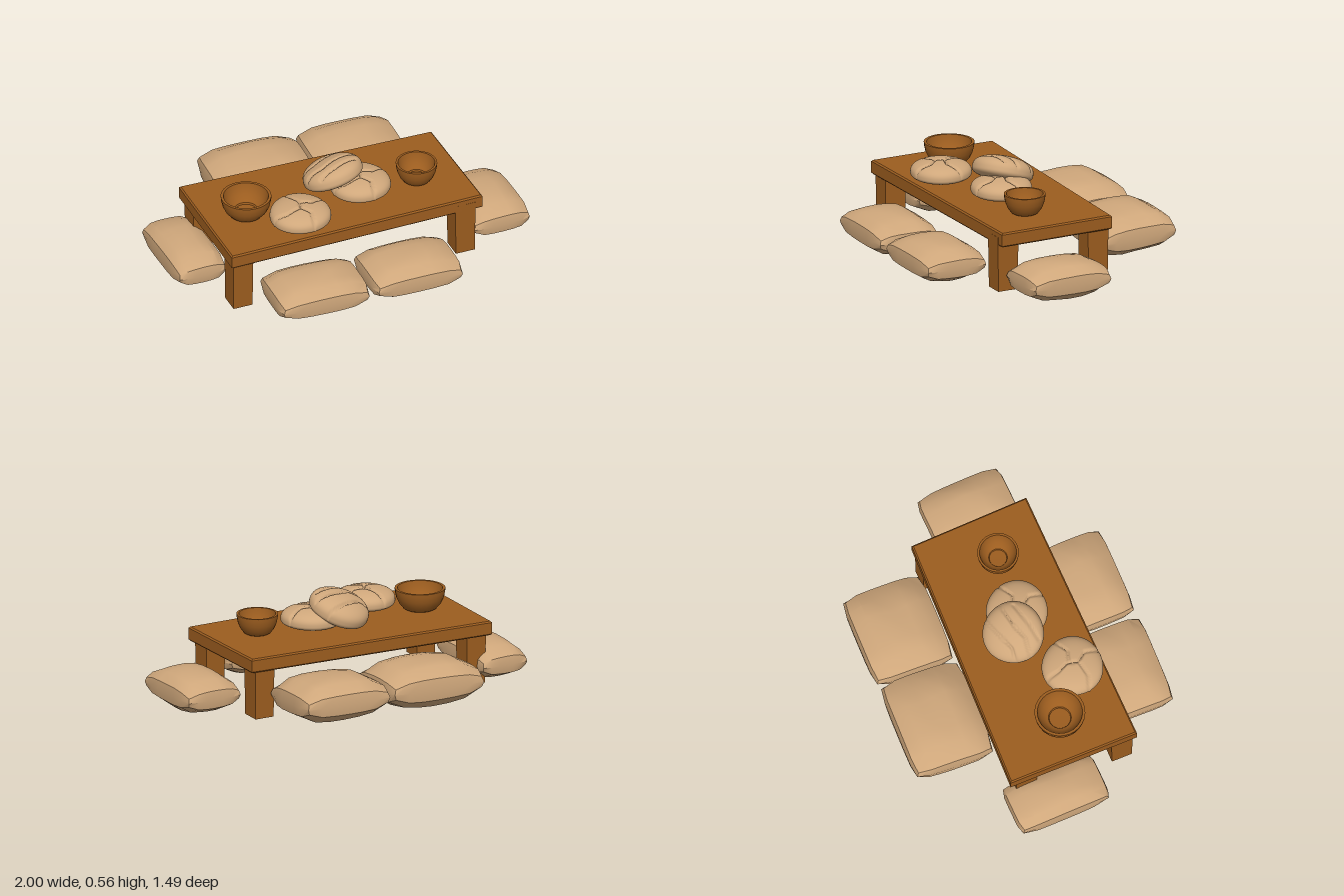
import * as THREE from 'three';
import { mergeVertices, toCreasedNormals } from 'three/addons/utils/BufferGeometryUtils.js';

const wood = new THREE.MeshStandardMaterial({ color: 0x9c5d1f });
wood.name = 'warm wood';
const tan = new THREE.MeshStandardMaterial({ color: 0xcfa77b });
tan.name = 'tan';

function add(parent, name, geometry, material, x = 0, y = 0, z = 0) {
  const mesh = new THREE.Mesh(geometry, material);
  mesh.name = name;
  mesh.position.set(x, y, z);
  parent.add(mesh);
  return mesh;
}

// Move every vertex by a rule, weld, then rebuild normals
function reshape(geometry, rule, crease) {
  const p = geometry.attributes.position;
  const v = new THREE.Vector3();
  for (let i = 0; i < p.count; i++) {
    rule(v.fromBufferAttribute(p, i));
    p.setXYZ(i, v.x, v.y, v.z);
  }
  geometry.deleteAttribute('uv');
  geometry.deleteAttribute('normal');
  const welded = mergeVertices(geometry, 1e-4);
  welded.computeVertexNormals();
  return crease ? toCreasedNormals(welded, crease) : welded;
}

// Pillow: plump in the middle, thinner at the edges, blunt rounded corners
function cushionGeometry(w, h, d, seed) {
  const bulge = (t) => 0.48 + 0.52 * Math.sqrt(Math.max(0, 1 - Math.abs(t) ** 2.2));
  return reshape(new THREE.BoxGeometry(2, 2, 2, 6, 2, 6), (v) => {
    const { x, y, z } = v;
    const inset = 1 - 0.035 * Math.abs(y);
    const wobble = 0.02 * Math.sin(3 * x + 5 * z + seed);
    v.x = (w / 2) * x * (inset - 0.055 * Math.abs(z) ** 6 * Math.abs(x)) + w * wobble * (1 - x * x);
    v.z = (d / 2) * z * (inset - 0.055 * Math.abs(x) ** 6 * Math.abs(z));
    v.y = (h / 2) * y * bulge(x) * bulge(z) * (1 + wobble);
  }, 0.6);
}

function segmentDistance(x, z, [ax, az], [bx, bz]) {
  const dx = bx - ax, dz = bz - az;
  const t = THREE.MathUtils.clamp(((x - ax) * dx + (z - az) * dz) / (dx * dx + dz * dz), 0, 1);
  return Math.hypot(x - ax - t * dx, z - az - t * dz);
}

// Round loaf: flattened ball with split grooves pressed into the crust
function loafGeometry(radius, rise, drop, cracks) {
  return reshape(new THREE.SphereGeometry(1, 96, 52), (v) => {
    const top = v.y > 0;
    const round = radius * (1 + 0.015 * Math.sin(3 * Math.atan2(v.z, v.x)));
    v.x *= round;
    v.z *= round;
    v.y = top ? rise * v.y ** 0.75 : -drop * (-v.y) ** 0.75;
    if (!top) return;
    let near = 1;
    for (const line of cracks)
      for (let i = 1; i < line.length; i++)
        near = Math.min(near, segmentDistance(v.x, v.z, line[i - 1], line[i]));
    v.y -= 0.016 * Math.max(0, 1 - near / 0.011);
  });
}

// Bowl: thick rounded wall, narrow foot, flat floor with a shallow dip
function bowlGeometry(r, h) {
  const profile = [
    [0, 0], [0.54, 0], [0.66, 0.07], [0.83, 0.3], [0.94, 0.58], [0.99, 0.85], [1, 1],
    [0.89, 1], [0.85, 0.82], [0.73, 0.52], [0.55, 0.32], [0.45, 0.28], [0.42, 0.2], [0, 0.18],
  ].map(([x, y]) => new THREE.Vector2(x * r, y * h));
  return toCreasedNormals(new THREE.LatheGeometry(profile, 28), 0.7);
}

// Horizontal bevelled plate from an x/z outline, rising from y = 0
function plate(outline, height, bevel, hole) {
  const points = (list) => list.map(([x, z]) => new THREE.Vector2(x, -z));
  const shape = new THREE.Shape(points(outline));
  if (hole) shape.holes.push(new THREE.Path(points(hole)));
  const geometry = new THREE.ExtrudeGeometry(shape, {
    depth: height - 2 * bevel, bevelSize: bevel,
    bevelThickness: bevel, bevelOffset: -bevel, bevelSegments: 1,
  });
  return geometry.translate(0, 0, bevel).rotateX(-Math.PI / 2);
}

export function createModel() {
  const model = new THREE.Group();
  model.name = 'low table setting';

  // Table top, slightly uneven in outline, with a rim hanging below
  const table = new THREE.Group();
  table.name = 'table';
  model.add(table);
  const outline = [[-0.787, 0.43], [0.696, 0.405], [0.68, -0.275], [-0.787, -0.312]];
  const inner = outline.map(([x, z]) => [x - Math.sign(x) * 0.032, z - Math.sign(z) * 0.032]);
  add(table, 'tableTop', plate(outline, 0.045, 0.008), wood, 0, 0.313, 0);
  add(table, 'tableRim', plate(outline, 0.07, 0.008, inner), wood, 0, 0.278, 0);

  // Legs
  for (const [x, z, foot] of [
    [-0.712, 0.35, 0], [0.595, 0.345, 0.015], [-0.712, -0.21, 0], [0.595, -0.205, 0.01],
  ]) {
    const height = 0.325 - foot;
    const leg = reshape(new THREE.BoxGeometry(0.118, height, 0.125), (v) => {
      if (v.y < 0) { v.x *= 0.94; v.z *= 0.94; }
    }, 0.3);
    add(table, 'leg', leg, wood, x, foot + height / 2, z);
  }

  // Cushions: centre, size, turn about y, tilt about x
  const cushions = [
    ['frontLeftCushion', [0.2, 0.11, 0.548], [0.52, 0.2, 0.375], 0, 0],
    ['frontRightCushion', [-0.348, 0.11, 0.548], [0.525, 0.2, 0.375], -0.02, 0],
    ['backLeftCushion', [0.322, 0.165, -0.507], [0.53, 0.235, 0.465], -0.02, 0.06],
    ['backRightCushion', [-0.236, 0.167, -0.512], [0.575, 0.25, 0.465], -0.03, 0.06],
    ['leftCushion', [0.825, 0.108, 0.125], [0.345, 0.205, 0.495], 0.03, 0],
    ['rightCushion', [-0.855, 0.104, -0.075], [0.29, 0.2, 0.535], 0.02, 0],
  ];
  cushions.forEach(([name, pos, size, turn, tilt], i) => {
    const cushion = add(model, name, cushionGeometry(...size, i * 1.7), tan, ...pos);
    cushion.rotation.set(tilt, turn, 0);
  });

  // Bowls
  add(model, 'largeBowl', bowlGeometry(0.138, 0.12), wood, -0.555, 0.357, 0.075);
  add(model, 'smallBowl', bowlGeometry(0.113, 0.112), wood, 0.425, 0.357, 0.125);

  // Loaves, two flat on the table and one leaning on another
  const forked = [
    [[-0.03, -0.17], [-0.02, -0.09], [0.005, -0.03], [-0.01, 0.03], [0.03, 0.08], [0.02, 0.17]],
    [[0.005, -0.02], [0.07, 0.0], [0.17, -0.05]],
    [[-0.17, 0.03], [-0.1, 0.05], [-0.01, 0.03]],
  ];
  const striped = [
    [[-0.16, -0.05], [-0.08, -0.03], [0.0, -0.06], [0.13, -0.11]],
    [[-0.16, 0.04], [-0.06, 0.06], [0.03, 0.03], [0.16, 0.0]],
    [[-0.1, 0.12], [0.0, 0.11], [0.13, 0.07]],
  ];
  const flatLoaf = loafGeometry(0.167, 0.073, 0.042, forked);
  add(model, 'frontLoaf', flatLoaf, tan, -0.312, 0.398, 0.252);
  add(model, 'sideLoaf', flatLoaf, tan, 0.102, 0.398, 0.1);
  const leaning = add(model, 'leaningLoaf', loafGeometry(0.168, 0.085, 0.055, striped), tan, -0.026, 0.452, 0.025);
  leaning.quaternion.setFromUnitVectors(
    new THREE.Vector3(0, 1, 0), new THREE.Vector3(-0.24, 1, -0.33).normalize());

  return model;
}
